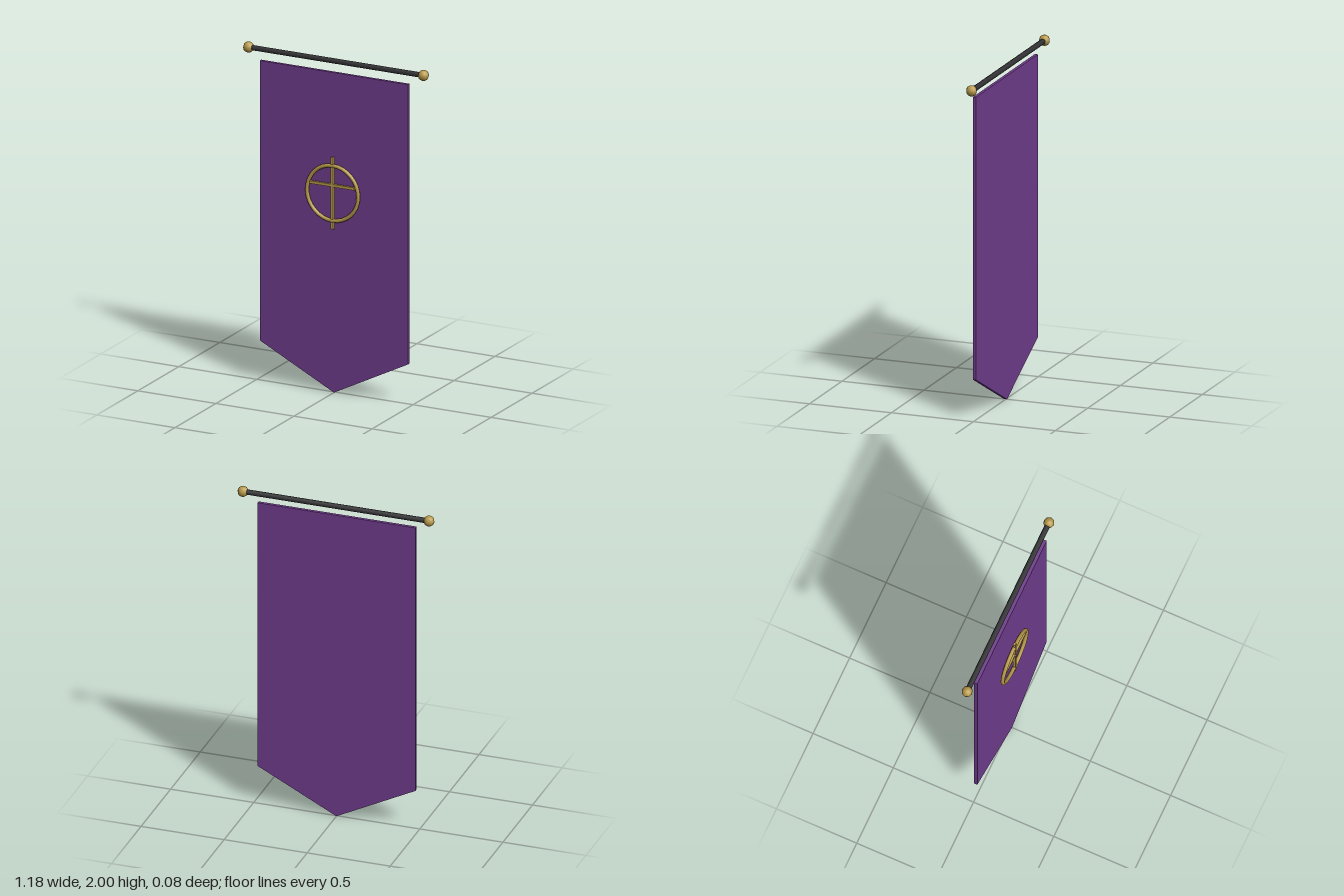
import * as THREE from 'three';

const material = (color) => new THREE.MeshStandardMaterial({ color });

export function createModel() {
  const model = new THREE.Group();
  model.name = 'hangingBanner';
  const cloth = material(0x6f3c8c);
  const gold = material(0xb8994a);
  const iron = material(0x333336);

  const add = (name, geometry, mat, x, y, z, parent = model) => {
    const mesh = new THREE.Mesh(geometry, mat);
    mesh.name = name;
    mesh.position.set(x, y, z);
    parent.add(mesh);
    return mesh;
  };

  // Cloth: a thin slab with a pointed lower edge
  const outline = new THREE.Shape([
    [0, 0], [0.475, 0.24], [0.475, 1.908], [-0.475, 1.908], [-0.475, 0.24],
  ].map(([x, y]) => new THREE.Vector2(x, y)));
  add('cloth', new THREE.ExtrudeGeometry(outline, { depth: 0.019, bevelEnabled: false }), cloth, 0, 0, -0.007);

  // Rod with a round finial on each end
  const rodY = 1.969, rodZ = -0.013;
  add('rod', new THREE.CylinderGeometry(0.016, 0.016, 1.12, 8), iron, 0, rodY, rodZ).rotation.z = Math.PI / 2;
  for (const [name, side] of [['leftFinial', 1], ['rightFinial', -1]]) {
    add(name, new THREE.SphereGeometry(0.032, 8, 8), gold, side * 0.56, rodY, rodZ);
  }

  // Emblem: ring crossed by an upright and a shorter crossbar
  const emblem = new THREE.Group();
  emblem.name = 'emblem';
  emblem.position.set(0, 1.194, 0.028);
  model.add(emblem);
  add('ring', new THREE.TorusGeometry(0.164, 0.0115, 8, 32), gold, 0, 0, 0, emblem);
  add('upright', new THREE.BoxGeometry(0.016, 0.427, 0.014), gold, 0, 0, 0.001, emblem);
  add('crossbar', new THREE.BoxGeometry(0.285, 0.016, 0.014), gold, 0, 0.047, 0.001, emblem);

  return model;
}
